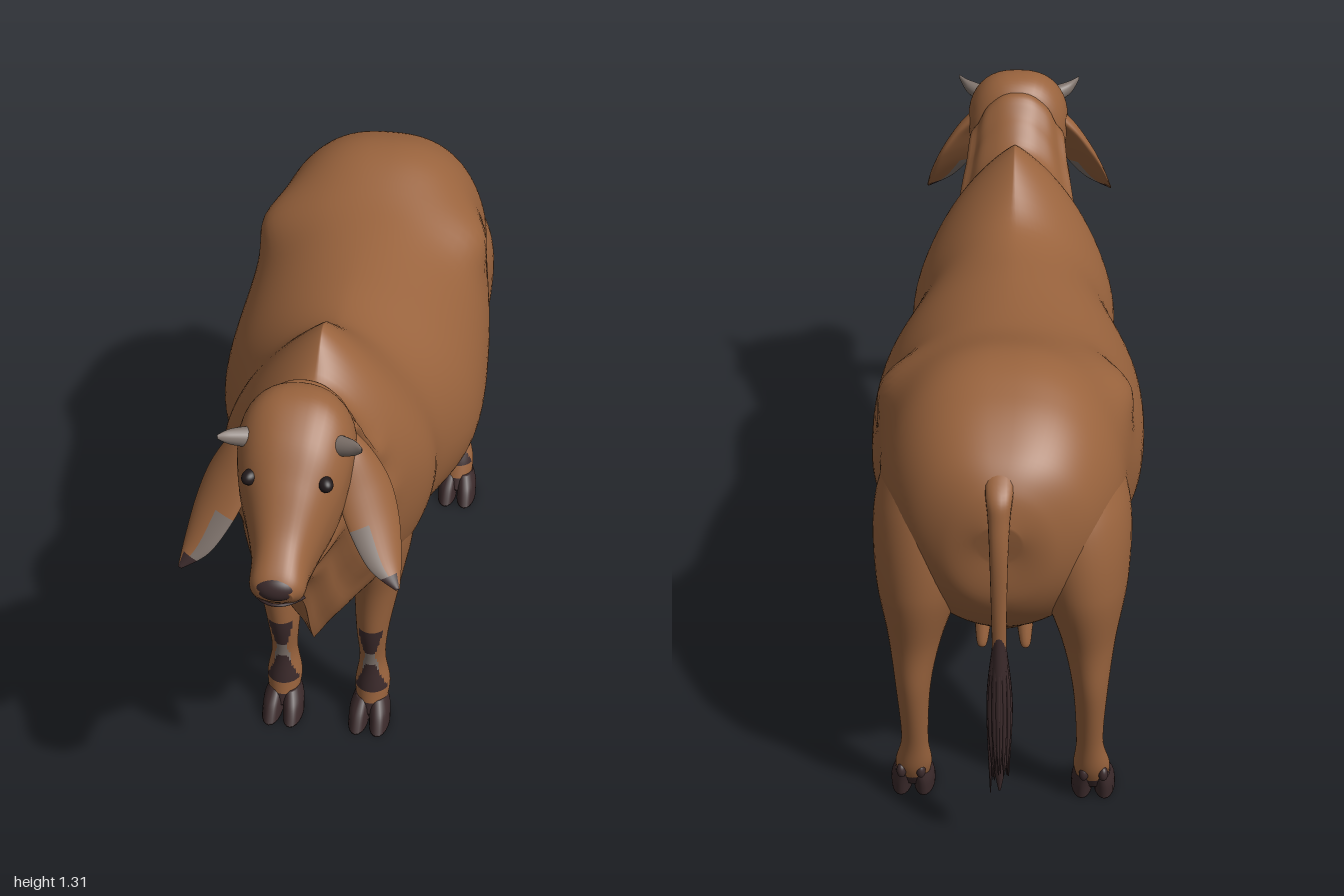
import * as THREE from 'three';

const paint = (name, color) => {
  const m = new THREE.MeshStandardMaterial({ color });
  m.name = name;
  return m;
};

// Smooth (Catmull-Rom) interpolation of table rows
function refine(rows, steps) {
  const out = [], last = rows.length - 1;
  for (let i = 0; i < last; i++) {
    const p0 = rows[Math.max(i - 1, 0)], p1 = rows[i], p2 = rows[i + 1], p3 = rows[Math.min(i + 2, last)];
    for (let s = 0; s < steps; s++) {
      const t = s / steps;
      out.push(p1.map((v, k) => v + 0.5 * t * (p2[k] - p0[k] + t * (2 * p0[k] - 5 * v + 4 * p2[k] - p3[k]
        + t * (3 * (v - p2[k]) + p3[k] - p0[k])))));
    }
  }
  out.push(rows[last]);
  return out;
}

// Closed skin through rings; place(row, angle) gives a point, pick gives a material index
function loft(name, rows, place, mats, { seg = 32, steps = 8, pick = () => 0, side = 1 } = {}) {
  const rings = refine(rows, steps), pos = [], faces = mats.map(() => []), n = rings.length;
  const angle = j => (j / seg) * Math.PI * 2;
  for (const r of rings) {
    for (let j = 0; j < seg; j++) {
      const p = place(r, angle(j));
      pos.push(p[0] * side, p[1], p[2]);
    }
  }
  const tri = (m, a, b, c) => (side > 0 ? faces[m].push(a, b, c) : faces[m].push(a, c, b));
  for (let i = 0; i < n - 1; i++) {
    for (let j = 0; j < seg; j++) {
      const k = (j + 1) % seg, a = i * seg + j, b = i * seg + k;
      const m = pick(rings[i], angle(j + 0.5), i / (n - 1));
      tri(m, a, b, a + seg);
      tri(m, b, b + seg, a + seg);
    }
  }
  // end caps
  for (const i of [0, n - 1]) {
    const c = pos.length / 3, mid = [0, 0, 0];
    for (let j = 0; j < seg; j++) for (let k = 0; k < 3; k++) mid[k] += pos[(i * seg + j) * 3 + k] / seg;
    pos.push(...mid);
    for (let j = 0; j < seg; j++) {
      const a = i * seg + j, b = i * seg + (j + 1) % seg, m = pick(rings[i], angle(j + 0.5), i ? 1 : 0);
      if (i) tri(m, a, b, c); else tri(m, b, a, c);
    }
  }
  // centre points were summed on mirrored positions, so both sides share this path
  const g = new THREE.BufferGeometry();
  g.setAttribute('position', new THREE.Float32BufferAttribute(pos, 3));
  g.setIndex(faces.flat());
  let start = 0;
  faces.forEach((f, m) => { if (f.length) g.addGroup(start, f.length, m); start += f.length; });
  g.computeVertexNormals();
  const mesh = new THREE.Mesh(g, mats);
  mesh.name = name;
  return mesh;
}

// Upright slice: [topZ, topY, bottomZ, bottomY, widest height 0-1, half width, top power, bottom power]
function slice([zt, yt, zb, yb, m, w, et, eb], a) {
  const c = Math.cos(a), s = Math.sin(a);
  const t = s > 0 ? m + (1 - m) * s : m + m * s;
  return [Math.sign(c) * w * Math.abs(c) ** (s > 0 ? et : eb), yb + (yt - yb) * t, zb + (zt - zb) * t];
}
// Level ring: [y, x, z, x radius, z radius]
const level = ([y, x, z, rx, rz], a) => [x + rx * Math.cos(a), y, z + rz * Math.sin(a)];
// Level ring on the centre line: [y, z, x radius, z radius]
const central = ([y, z, rx, rz], a) => level([y, 0, z, rx, rz], a);

export function createModel() {
  const hide = paint('brown hide', 0x99633d), dark = paint('dark brown', 0x3b2a2b);
  const grey = paint('grey skin', 0x7f736c), black = paint('eye black', 0x221a1b);
  const cow = new THREE.Group();
  cow.name = 'cow';
  const blob = (name, mat, p, r, rot = [0, 0, 0]) => {
    const mesh = new THREE.Mesh(new THREE.SphereGeometry(1, 32, 20), mat);
    mesh.name = name;
    mesh.position.set(...p);
    mesh.scale.set(...r);
    mesh.rotation.set(...rot);
    cow.add(mesh);
  };

  // Rump, barrel, hump, neck and dewlap; pleated neck skin, swelling hips and shoulders
  const bulge = (p, y, z, ry, rz) => Math.exp(-(((p[1] - y) / ry) ** 2) - ((p[2] - z) / rz) ** 2);
  const torso = (r, a) => {
    const p = slice(r, a), k = THREE.MathUtils.smoothstep(r[0], 0.38, 0.52);
    p[0] *= 1 + 0.09 * k * Math.cos(14 * a) * (Math.sin(a) < 0.5 ? 1 : 0.15);
    const swell = 0.045 * bulge(p, 1.05, -0.47, 0.08, 0.1) + 0.02 * bulge(p, 0.8, 0.25, 0.22, 0.1);
    p[0] += swell * THREE.MathUtils.clamp(p[0] * 10, -1, 1);
    return p;
  };
  cow.add(loft('body', [
    [-0.955, 0.95, -0.93, 0.84, 0.5, 0.05, 1, 1],
    [-0.93, 1.03, -0.92, 0.72, 0.5, 0.13, 0.9, 0.9],
    [-0.87, 1.1, -0.85, 0.61, 0.55, 0.215, 0.8, 1],
    [-0.75, 1.17, -0.74, 0.52, 0.55, 0.275, 0.8, 1],
    [-0.6, 1.2, -0.6, 0.49, 0.55, 0.295, 0.85, 1],
    [-0.38, 1.14, -0.38, 0.455, 0.45, 0.332, 0.95, 0.9],
    [-0.1, 1.12, -0.1, 0.445, 0.42, 0.335, 1.1, 0.9],
    [0.12, 1.135, 0.12, 0.45, 0.46, 0.262, 1.2, 0.9],
    [0.32, 1.26, 0.31, 0.42, 0.5, 0.235, 1.8, 1.1],
    [0.45, 1.175, 0.45, 0.405, 0.6, 0.175, 1.2, 2],
    [0.53, 1.235, 0.52, 0.47, 0.67, 0.142, 1, 2.3],
    [0.6, 1.285, 0.6, 0.62, 0.7, 0.122, 0.9, 2.3],
    [0.71, 1.17, 0.71, 0.755, 0.6, 0.085, 1, 1.9],
    [0.79, 1, 0.8, 0.85, 0.5, 0.045, 1, 1],
  ], torso, [hide], { seg: 96 }));

  cow.add(loft('head', [
    [0.55, 1.18, 0.59, 1, 0.5, 0.07, 1, 1],
    [0.6, 1.29, 0.63, 0.92, 0.62, 0.122, 0.9, 1.1],
    [0.68, 1.312, 0.7, 0.885, 0.68, 0.135, 0.8, 1.2],
    [0.77, 1.26, 0.76, 0.88, 0.65, 0.122, 0.8, 1.2],
    [0.84, 1.18, 0.82, 0.89, 0.6, 0.093, 0.8, 1],
    [0.91, 1.09, 0.88, 0.895, 0.55, 0.069, 0.8, 0.9],
    [0.975, 1.03, 0.945, 0.925, 0.5, 0.062, 0.8, 0.8],
    [0.995, 1, 0.98, 0.955, 0.5, 0.04, 0.8, 0.8],
  ], slice, [hide], { seg: 40 }));
  blob('nose pad', dark, [0, 0.993, 0.972], [0.048, 0.032, 0.027], [-0.25, 0, 0]);
  const lips = new THREE.QuadraticBezierCurve3(new THREE.Vector3(-0.058, 0.94, 0.935),
    new THREE.Vector3(0, 0.957, 1.03), new THREE.Vector3(0.058, 0.94, 0.935));
  const mouth = new THREE.Mesh(new THREE.TubeGeometry(lips, 20, 0.004, 6), dark);
  mouth.name = 'mouth';
  cow.add(mouth);

  // Ear frame: across the leaf and out of its face
  const along = new THREE.Vector3(0.43, -0.8, 0.4).normalize();
  const face = new THREE.Vector3().crossVectors(along, new THREE.Vector3(0.65, 0.2, -0.73)).normalize();
  const across = new THREE.Vector3().crossVectors(face, along);
  const leaf = ([x, y, z, w, t], a) => {
    const c = Math.cos(a), f = t * Math.sin(a) - 0.2 * w * c * c;
    return new THREE.Vector3(x, y, z).addScaledVector(across, w * c).addScaledVector(face, f).toArray();
  };
  const earPaint = (r, a, u) => {
    if (u > 0.86 && Math.cos(a) < 0.3) return 2;
    return u > 0.56 && Math.cos(a) < -0.45 ? 1 : 0;
  };

  // Leg markings: tapering dark and grey patches on the fronts, dark feet
  const markings = fore => ([y], a) => {
    const c = Math.abs(Math.cos(a)), front = Math.sin(a) > 0;
    if (y < 0.068) return 2;
    if (!front) return 0;
    if (fore && y > 0.235 && y < 0.32 && c < 0.75 - (0.32 - y) * 4) return 2;
    if (y > 0.1 && y < 0.195 && c < 0.97 - (y - 0.1) * 6) return 2;
    return y > 0.155 && y < 0.24 && c < (fore ? 0.6 : 0.9) - Math.max(0, y - 0.19) * 6 ? 1 : 0;
  };
  const foreRows = [[0.85, 0.13, 0.25, 0.07, 0.1], [0.65, 0.14, 0.26, 0.08, 0.115],
    [0.45, 0.128, 0.262, 0.06, 0.078], [0.3, 0.118, 0.268, 0.043, 0.06],
    [0.19, 0.117, 0.262, 0.034, 0.045], [0.1, 0.118, 0.262, 0.046, 0.052], [0.03, 0.118, 0.28, 0.035, 0.045]];
  const hindRows = [[1.05, 0.13, -0.67, 0.09, 0.13], [0.88, 0.17, -0.695, 0.125, 0.185],
    [0.7, 0.19, -0.735, 0.11, 0.165], [0.52, 0.206, -0.765, 0.066, 0.1],
    [0.38, 0.213, -0.787, 0.043, 0.062], [0.2, 0.214, -0.768, 0.033, 0.036],
    [0.1, 0.22, -0.74, 0.045, 0.043], [0.03, 0.223, -0.71, 0.035, 0.04]];

  for (const s of [1, -1]) {
    const tag = s > 0 ? 'left ' : 'right ';
    cow.add(loft(tag + 'ear', [
      [0.095, 1.2, 0.66, 0.035, 0.02], [0.13, 1.15, 0.68, 0.055, 0.02],
      [0.165, 1.08, 0.705, 0.07, 0.018], [0.195, 1.01, 0.74, 0.066, 0.014],
      [0.225, 0.94, 0.785, 0.044, 0.009], [0.255, 0.893, 0.82, 0.006, 0.003],
    ], leaf, [hide, grey, dark], { pick: earPaint, side: s }));
    cow.add(loft(tag + 'horn', [
      [0.095, 1.218, 0.725, 0.026], [0.14, 1.232, 0.75, 0.018], [0.164, 1.248, 0.777, 0.005],
    ], ([x, y, z, r], a) => [x, y + r * Math.cos(a), z + r * Math.sin(a)], [grey], { seg: 16, side: s }));
    blob(tag + 'eye', black, [s * 0.085, 1.167, 0.806], [0.018, 0.018, 0.024], [0, s * 0.5, 0]);

    for (const fore of [true, false]) {
      const kind = tag + (fore ? 'front leg' : 'hind leg');
      const x = fore ? 0.116 : 0.225, z = fore ? 0.31 : -0.692;
      cow.add(loft(kind, fore ? foreRows : hindRows, level, [hide, grey, dark],
        { pick: markings(fore), steps: 14, seg: 48, side: s }));
      // cloven hoof and dewclaws
      for (const d of [-1, 1]) {
        cow.add(loft(kind + ' hoof', [
          [0.072, x + d * 0.02, z - 0.038, 0.021, 0.04], [0.04, x + d * 0.026, z - 0.018, 0.027, 0.055],
          [0, x + d * 0.028, z, 0.027, 0.066],
        ], level, [dark], { seg: 20, side: s }));
        blob(kind + ' dewclaw', dark, [s * x + d * 0.024, 0.092, z - (fore ? 0.09 : 0.08)],
          [0.012, 0.02, 0.014]);
      }
    }
    // teats
    for (const z of [-0.56, -0.63]) {
      cow.add(loft(tag + 'teat', [[0.47, 0.05, z + 0.03, 0.024, 0.024], [0.39, 0.053, z, 0.014, 0.014],
        [0.373, 0.053, z, 0.005, 0.005]], level, [hide], { seg: 14, side: s }));
    }
  }
  blob('udder', hide, [0, 0.5, -0.58], [0.11, 0.08, 0.12], [0.2, 0, 0]);

  // Tail with a tuft of tapering strands
  cow.add(loft('tail', [
    [1.09, -0.82, 0.03, 0.03], [1.035, -0.92, 0.032, 0.032], [0.97, -0.957, 0.025, 0.022],
    [0.84, -0.975, 0.02, 0.015], [0.58, -0.955, 0.016, 0.016],
  ], central, [hide], { seg: 18 }));
  cow.add(loft('tail tuft', [
    [0.67, -0.965, 0.012, 0.012], [0.48, -0.95, 0.025, 0.034],
    [0.33, -0.954, 0.024, 0.032], [0.2, -0.965, 0.003, 0.003],
  ], central, [dark], { seg: 18 }));
  for (let i = 0; i < 18; i++) {
    const c = Math.cos(i * 2.4), d = Math.sin(i * 2.4), end = 0.19 + 0.1 * ((i * 7) % 18) / 18;
    cow.add(loft('tuft strand', [
      [0.62, c * 0.012, -0.958 + d * 0.012, 0.005, 0.005], [0.45, c * 0.023, -0.95 + d * 0.033, 0.008, 0.008],
      [end, c * 0.022, -0.963 + d * 0.03, 0.001, 0.001],
    ], level, [dark], { seg: 6 }));
  }
  return cow;
}
